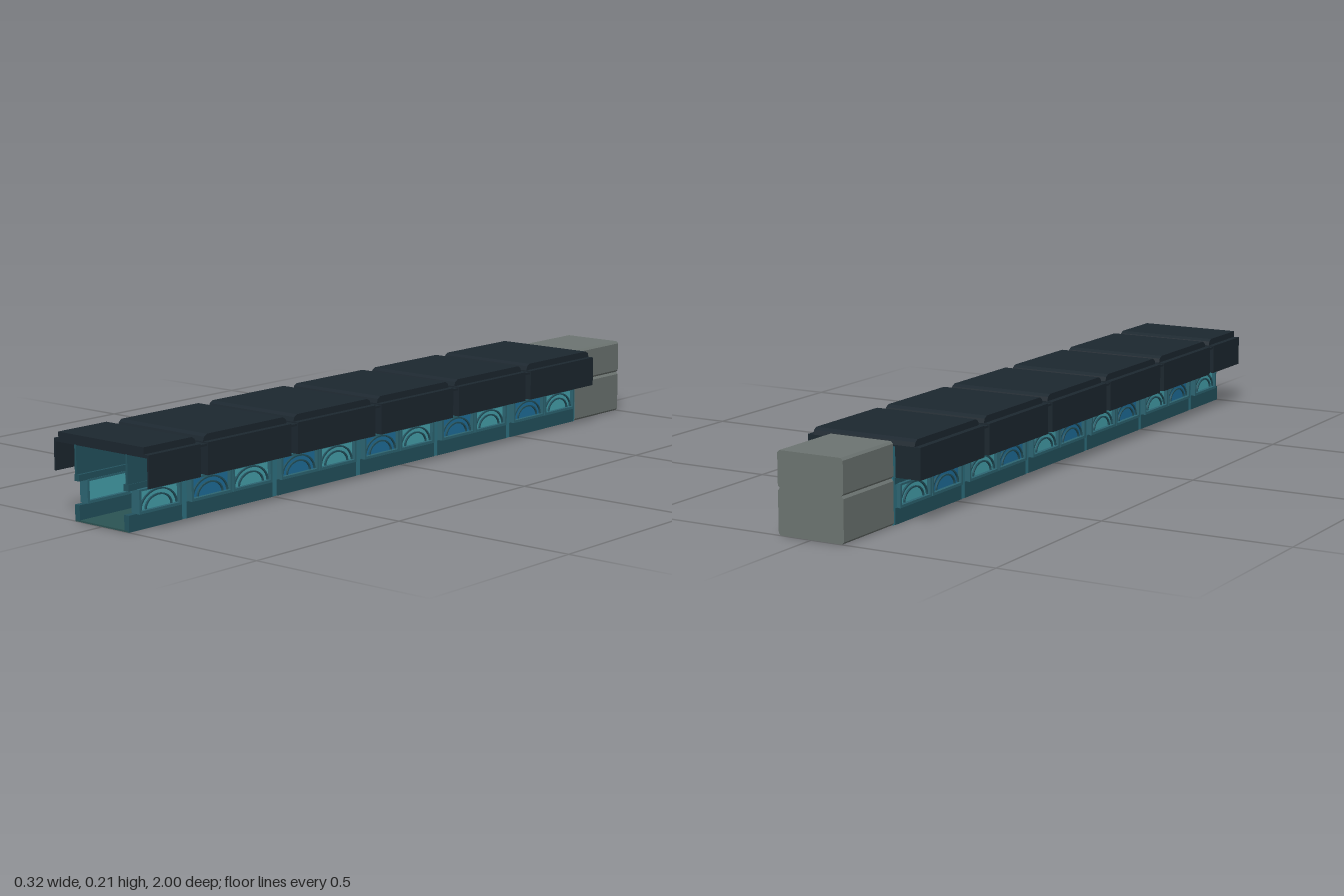
import * as THREE from 'three';

const mat = (color, side = THREE.FrontSide) => new THREE.MeshStandardMaterial({ color, side });
const ROOF = mat(0x1c272f), WALL = mat(0x23525e), RIB = mat(0x2f7484), FRAME = mat(0x2c6572);
const GLASS = mat(0x45a3ae), BLUE = mat(0x1f6f9c), FLOOR = mat(0x2b5353), GREY = mat(0x6c7471);
const PITCH = 0.3205, FIRST = 0.815, GAP = 0.024;

function add(parent, name, geometry, material) {
  const m = new THREE.Mesh(geometry, material);
  m.name = name;
  parent.add(m);
  return m;
}

// Box given by its limits on each axis
function box(parent, name, material, [x0, x1], [y0, y1], [z0, z1]) {
  const m = add(parent, name, new THREE.BoxGeometry(x1 - x0, y1 - y0, z1 - z0), material);
  m.position.set((x0 + x1) / 2, (y0 + y1) / 2, (z0 + z1) / 2);
  return m;
}

// Limits on the x axis, measured outward on one side
const span = (s, a, b) => (s > 0 ? [a, b] : [-b, -a]);

// Shape drawn in (-z, y), extruded along x around x = 0
function sideGeometry(shape, depth) {
  return new THREE.ExtrudeGeometry(shape, { depth, bevelEnabled: false, curveSegments: 14 })
    .translate(0, 0, -depth / 2).rotateY(Math.PI / 2);
}

function rect(Type, x0, x1, y0, y1) {
  const p = new Type();
  p.moveTo(x0, y0); p.lineTo(x1, y0); p.lineTo(x1, y1); p.lineTo(x0, y1); p.closePath();
  return p;
}

// Portal frame with a three-lobed arch opening
function ribGeometry() {
  const s = rect(THREE.Shape, -0.0905, 0.0905, 0, 0.191);
  const h = new THREE.Path();
  h.moveTo(-0.075, 0.004);
  h.lineTo(-0.075, 0.108);
  h.lineTo(-0.08, 0.108);
  h.absellipse(-0.038, 0.113, 0.042, 0.037, Math.PI, Math.PI / 2, true);
  h.absarc(0, 0.148, 0.038, Math.PI, 0, true);
  h.absellipse(0.038, 0.113, 0.042, 0.037, Math.PI / 2, 0, true);
  h.lineTo(0.08, 0.108);
  h.lineTo(0.075, 0.108);
  h.lineTo(0.075, 0.004);
  h.closePath();
  s.holes.push(h);
  return new THREE.ExtrudeGeometry(s, { depth: 0.02, bevelEnabled: false, curveSegments: 14 })
    .translate(0, 0, -0.01);
}

// Half-elliptical band of the window tracery
function archGeometry(r, h, t) {
  const s = new THREE.Shape();
  s.absellipse(0, 0, r, h, 0, Math.PI, false);
  s.absellipse(0, 0, r - t, h - t, Math.PI, 0, true);
  s.closePath();
  return sideGeometry(s, 0.007);
}

// One arched window: frame, pane, fan tracery
function addWindow(parent, side, z, pane) {
  const g = new THREE.Group();
  g.name = 'archedWindow';
  g.position.set(side * 0.088, 0.07, z);
  parent.add(g);
  const frame = rect(THREE.Shape, -0.071, 0.071, -0.03, 0.03);
  frame.holes.push(rect(THREE.Path, -0.064, 0.064, -0.023, 0.025));
  add(g, 'windowFrame', sideGeometry(frame, 0.026), FRAME);
  box(g, 'windowPane', pane, [-0.003, 0.003], [-0.024, 0.026], [-0.065, 0.065]);
  for (const [r, h] of [[0.062, 0.045], [0.045, 0.032]])
    add(g, 'windowArch', archGeometry(r, h, 0.004), WALL).position.set(side * 0.004, -0.022, 0);
}

// Hollow roof section with overhanging eaves
function addRoof(parent, z0, z1, openFront) {
  const g = new THREE.Group();
  g.name = 'roofSection';
  parent.add(g);
  const a = z0 + GAP / 2, b = openFront ? z1 : z1 - GAP / 2;
  box(g, 'roofSlab', ROOF, [-0.161, 0.161], [0.187, 0.195], [a, b]);
  // raised cap with sloping ends
  const cap = rect(THREE.Shape, -b, -a, 0.195, 0.2);
  const c = new THREE.Shape(cap.getPoints().slice(0, 2));
  c.lineTo(-a - 0.004, 0.206);
  c.lineTo(-a - 0.014, 0.212);
  c.lineTo(openFront ? -b : -b + 0.014, 0.212);
  c.lineTo(openFront ? -b : -b + 0.004, 0.206);
  c.closePath();
  add(g, 'roofCap', sideGeometry(c, 0.29), ROOF);
  for (const s of [1, -1]) {
    box(g, 'eaveSide', ROOF, span(s, 0.156, 0.161), [0.115, 0.19], [a, b]);
    box(g, 'eaveBackEnd', ROOF, span(s, 0.088, 0.158), [0.115, 0.19], [a, a + 0.005]);
    if (!openFront) box(g, 'eaveFrontEnd', ROOF, span(s, 0.088, 0.158), [0.115, 0.19], [b - 0.005, b]);
  }
}

// Floor and side walls of one section
function addWalls(parent, z0, z1, openFront) {
  const g = new THREE.Group();
  g.name = 'wallSection';
  parent.add(g);
  const a = z0 + 0.008, b = openFront ? z1 : z1 - 0.008;
  box(g, 'floor', FLOOR, [-0.09, 0.09], [0, 0.004], [z0 + 0.001, z1 - (openFront ? 0 : 0.001)]);
  for (const s of [1, -1]) {
    box(g, 'lowerWall', WALL, span(s, 0.076, 0.092), [0, 0.041], [a, b]);
    box(g, 'upperWall', WALL, span(s, 0.076, 0.092), [0.099, 0.115], [a, b]);
    box(g, 'roofSupport', WALL, span(s, 0.084, 0.09), [0.115, 0.188], [a, b]);
    const back = z0 + 0.017 + 0.071;
    addWindow(g, s, back, GLASS);
    if (!openFront) addWindow(g, s, back + 0.145, BLUE);
  }
}

export function createModel() {
  const root = new THREE.Group();
  root.name = 'corridor';

  // Repeating sections; the foremost one is cut short and open
  for (let i = 0; i < 6; i++) {
    const z0 = FIRST - PITCH * i;
    const z1 = i === 0 ? 1 : z0 + PITCH;
    addRoof(root, z0, z1, i === 0);
    addWalls(root, z0, z1, i === 0);
  }

  // Portal ribs at the joints
  const rib = ribGeometry();
  for (let i = 0; i < 6; i++)
    add(root, 'archRib', rib, RIB).position.z = FIRST - PITCH * i + (i === 5 ? 0.011 : 0);

  // Strips closing the joints in the roof
  for (let i = 0; i < 5; i++) {
    const z = FIRST - PITCH * i;
    box(root, 'roofJoint', ROOF, [-0.158, 0.158], [0.186, 0.1915], [z - 0.014, z + 0.014]);
  }

  // Closed end block: two halves with chamfered edges and a seam between
  const end = new THREE.Group();
  end.name = 'endBlock';
  root.add(end);
  const half = (y0, y1) => {
    const c = 0.006, w = 0.092;
    const s = new THREE.Shape([
      [-w + c, y0], [w - c, y0], [w, y0 + c], [w, y1 - c],
      [w - c, y1], [-w + c, y1], [-w, y1 - c], [-w, y0 + c],
    ].map(([x, y]) => new THREE.Vector2(x, y)));
    add(end, 'endBlockHalf', new THREE.ExtrudeGeometry(s, { depth: 0.213, bevelEnabled: false })
      .translate(0, 0, -1), GREY);
  };
  half(0, 0.115);
  half(0.115, 0.206);
  return root;
}
